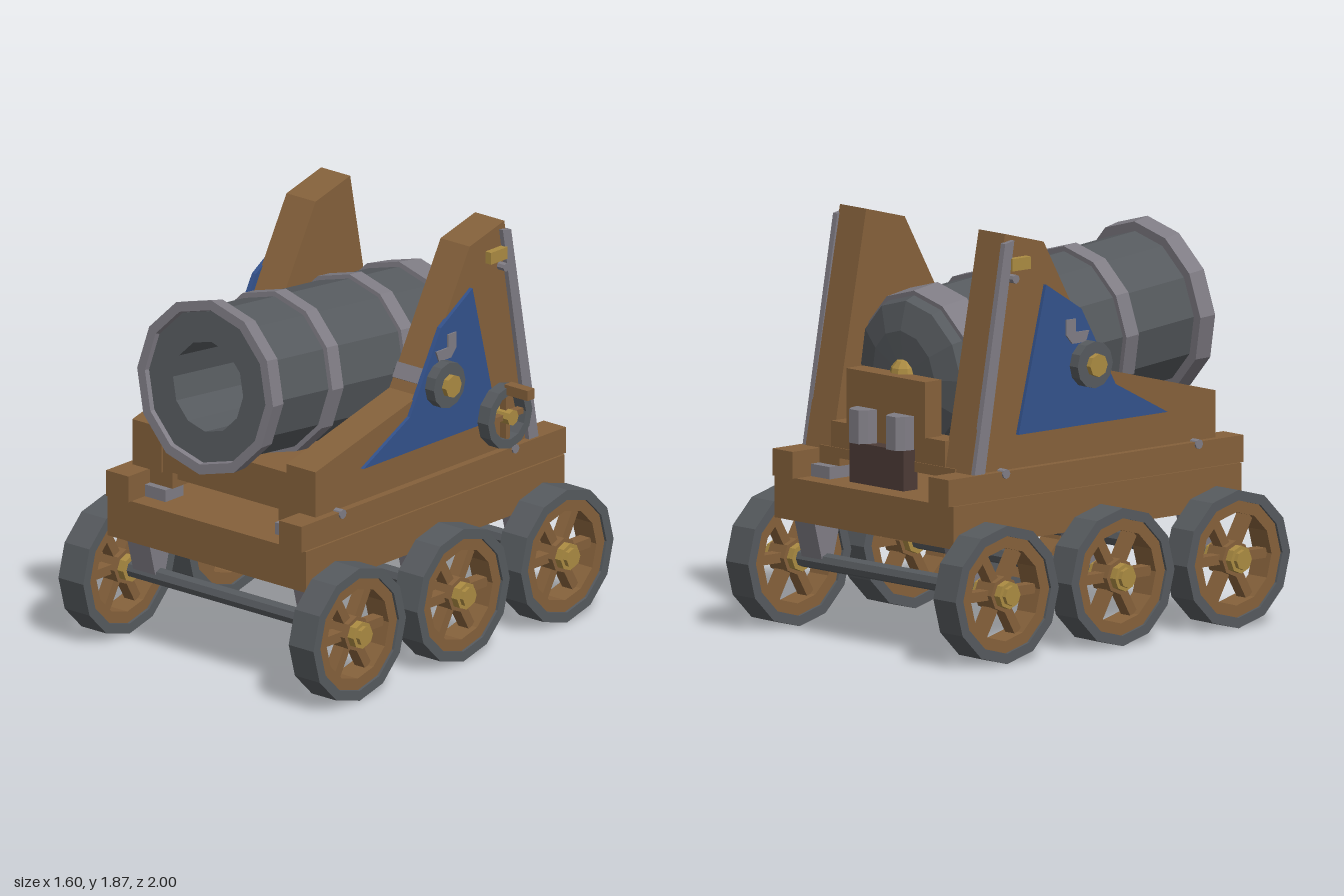
import * as THREE from 'three';

const mat = (name, color) => Object.assign(new THREE.MeshStandardMaterial({ color }), { name });

export function createModel() {
  const wood = mat('wood', 0x85613b);
  const darkWood = mat('dark wood', 0x4c3b36);
  const iron = mat('dark iron', 0x565a5e);
  const steel = mat('light steel', 0x7f7c84);
  const brass = mat('brass', 0xab8b42);
  const blue = mat('blue paint', 0x33528c);

  const model = new THREE.Group();
  model.name = 'siegeCannon';
  const body = new THREE.Group();
  body.name = 'carriage';
  body.position.x = -0.02;
  model.add(body);

  // Adds a faceted mesh
  const add = (parent, name, geometry, material) => {
    const flat = geometry.index ? geometry.toNonIndexed() : geometry;
    flat.computeVertexNormals();
    const mesh = new THREE.Mesh(flat, material);
    mesh.name = name;
    parent.add(mesh);
    return mesh;
  };
  // Box given by its limits on each axis
  const box = (parent, name, material, x0, x1, y0, y1, z0, z1) => add(parent, name,
    new THREE.BoxGeometry(Math.abs(x1 - x0), y1 - y0, z1 - z0)
      .translate((x0 + x1) / 2, (y0 + y1) / 2, (z0 + z1) / 2), material);
  // Cylinder along x
  const rod = (parent, name, material, r, x0, x1, y, z, sides = 12) => add(parent, name,
    new THREE.CylinderGeometry(r, r, Math.abs(x1 - x0), sides).rotateZ(Math.PI / 2)
      .translate((x0 + x1) / 2, y, z), material);
  // Outline in (z, y), extruded between two x values
  const slab = (parent, name, material, points, x0, x1, hole) => {
    const shape = new THREE.Shape(points.map(p => new THREE.Vector2(...p)));
    if (hole) shape.holes.push(new THREE.Path(hole.map(p => new THREE.Vector2(...p))));
    const g = new THREE.ExtrudeGeometry(shape, { depth: Math.abs(x1 - x0), bevelEnabled: false });
    return add(parent, name, g.rotateY(-Math.PI / 2).translate(Math.max(x0, x1), 0, 0), material);
  };
  const circle = (r, n = 12) => Array.from({ length: n }, (_, i) =>
    [r * Math.cos(i * 2 * Math.PI / n), r * Math.sin(i * 2 * Math.PI / n)]);
  const ring = (parent, name, material, ro, ri, x0, x1) =>
    slab(parent, name, material, circle(ro), x0, x1, circle(ri));
  const group = (name, x, y, z) => {
    const g = new THREE.Group();
    g.name = name;
    g.position.set(x, y, z);
    body.add(g);
    return g;
  };

  // Chassis and bed
  box(body, 'chassis', wood, -0.58, 0.58, 0.51, 0.7, -0.86, 0.86);
  box(body, 'bed', wood, -0.32, 0.32, 0.79, 0.835, -0.72, 0.7);
  box(body, 'frontTransom', wood, -0.37, 0.37, 0.83, 0.985, 0.6, 0.735);
  box(body, 'rearTransom', wood, -0.37, 0.37, 0.8, 0.95, -0.715, -0.6);
  box(body, 'breechBlock', wood, -0.255, 0.255, 0.95, 1.2, -0.73, -0.63);
  box(body, 'rearChest', darkWood, -0.175, 0.175, 0.71, 0.89, -0.785, -0.7);

  // Wheels and axles
  for (const z of [-0.69, 0, 0.69]) {
    rod(body, 'axle', iron, 0.04, -0.62, 0.62, 0.31, z, 8);
    for (const s of [-1, 1]) {
      slab(body, 'axleBracket', steel,
        [[z - 0.085, 0.52], [z - 0.03, 0.31], [z + 0.03, 0.31], [z + 0.085, 0.52]], s * 0.42, s * 0.55);
      const wheel = group('wheel', s * 0.6725, 0.31, z);
      ring(wheel, 'tyre', iron, 0.308, 0.262, -0.0725, 0.0725);
      ring(wheel, 'felloe', wood, 0.264, 0.208, -0.06, 0.06);
      for (let i = 0; i < 3; i++) {
        box(wheel, 'spokePair', wood, -0.03, 0.03, -0.022, 0.022, -0.225, 0.225)
          .rotation.x = i * Math.PI / 3;
      }
      rod(wheel, 'hub', wood, 0.08, -0.055, 0.055, 0, 0, 8);
      rod(wheel, 'hubCap', brass, 0.062, -s * 0.09, s * 0.09, 0, 0, 8);
      rod(wheel, 'hubPin', brass, 0.045, 0, s * 0.11, 0, 0, 8);
    }
  }

  // Side parts, one set for each side
  for (const s of [-1, 1]) {
    box(body, 'rail', wood, s * 0.44, s * 0.57, 0.7, 0.82, -0.88, 0.88);
    box(body, 'innerRail', wood, s * 0.31, s * 0.44, 0.755, 0.835, -0.72, 0.735);
    for (const z of [-0.71, 0.71]) {
      box(body, 'railFoot', steel, s * 0.32, s * 0.44, 0.7, 0.755, z - 0.06, z + 0.06);
    }
    slab(body, 'cheek', wood, [[0.745, 0.82], [0.745, 1.03], [0.06, 1.205],
      [-0.28, 1.81], [-0.51, 1.87], [-0.715, 0.82]], s * 0.365, s * 0.535);
    slab(body, 'bluePlate', blue, [[0.445, 0.97], [0.135, 1.13], [-0.07, 1.49],
      [-0.28, 1.62], [-0.445, 0.97]], s * 0.53, s * 0.552);
    slab(body, 'plateBracket', steel, [[-0.03, 1.39], [-0.05, 1.34], [-0.13, 1.34], [-0.165, 1.38],
      [-0.165, 1.45], [-0.11, 1.45], [-0.11, 1.39]], s * 0.552, s * 0.56);
    slab(body, 'edgeStrip', steel, [[-0.475, 1.84], [-0.53, 1.83], [-0.712, 0.82], [-0.65, 0.82]],
      s * 0.53, s * 0.558);
    slab(body, 'cheekStrap', steel, [[0.04, 1.25], [0.005, 1.312], [-0.02, 1.3], [0.02, 1.235]],
      s * 0.363, s * 0.538);
    box(body, 'brassCatch', brass, s * 0.53, s * 0.568, 1.705, 1.76, -0.495, -0.385);
    rod(body, 'catchBolt', steel, 0.02, s * 0.53, s * 0.575, 1.67, -0.48, 8);
    for (const z of [0.61, -0.54]) rod(body, 'railBolt', steel, 0.022, s * 0.53, s * 0.578, 0.81, z, 8);

    // Trunnion end
    rod(body, 'trunnionNeck', iron, 0.06, s * 0.53, s * 0.58, 1.245, -0.05);
    rod(body, 'trunnionCap', iron, 0.105, s * 0.568, s * 0.62, 1.245, -0.05);
    rod(body, 'trunnionPin', brass, 0.052, s * 0.6, s * 0.645, 1.245, -0.05, 8);

    // Rear latch, a half-round prism
    const latch = new THREE.Shape([[-0.065, 0], [0.065, 0], [0.055, 0.045], [0.03, 0.08],
      [-0.03, 0.08], [-0.055, 0.045]].map(p => new THREE.Vector2(...p)));
    add(body, 'latch', new THREE.ExtrudeGeometry(latch, { depth: 0.15, bevelEnabled: false })
      .rotateX(-Math.PI / 2).translate(s * 0.12, 0.89, -0.73), steel);
  }
  rod(body, 'trunnion', iron, 0.06, -0.54, 0.54, 1.245, -0.05);

  // Barrel, tilted on its trunnions
  const barrel = group('barrel', 0, 1.245, -0.05);
  barrel.rotation.x = -0.097;
  const turned = (name, material, points) => add(barrel, name,
    new THREE.LatheGeometry(points.map(p => new THREE.Vector2(...p)), 12).rotateX(Math.PI / 2), material);
  turned('tube', iron, [[0, -0.58], [0.2, -0.575], [0.325, -0.53], [0.345, -0.46], [0.345, 0.905],
    [0.205, 0.905], [0.2, 0.1], [0, 0.1]]);
  const hoop = (name, r0, r1, a, b) => turned(name, steel, [[0.33, a], [r0, a], [r1, b], [0.33, b]]);
  hoop('breechHoop', 0.36, 0.368, -0.48, -0.335);
  hoop('middleHoop', 0.364, 0.364, -0.085, -0.005);
  hoop('frontHoop', 0.368, 0.368, 0.42, 0.495);
  turned('muzzleHoop', steel, [[0.34, 0.845], [0.388, 0.845], [0.397, 0.925], [0.352, 0.925], [0.345, 0.9]]);
  add(barrel, 'breechKnob', new THREE.SphereGeometry(0.075, 10, 6).translate(0, 0, -0.56), brass);

  // Hand crank on the left side
  const crank = group('crank', 0, 1.03, -0.37);
  rod(crank, 'crankShaft', iron, 0.035, 0.53, 0.64, 0, 0, 8);
  ring(crank, 'crankRim', iron, 0.147, 0.105, 0.63, 0.693);
  box(crank, 'crankSpokeUpright', wood, 0.645, 0.68, -0.115, 0.115, -0.013, 0.013);
  box(crank, 'crankSpokeLevel', wood, 0.645, 0.68, -0.013, 0.013, -0.115, 0.115);
  rod(crank, 'crankPin', brass, 0.036, 0.63, 0.71, 0, 0, 8);
  box(crank, 'crankHandle', wood, 0.68, 0.815, 0.108, 0.155, -0.024, 0.024);

  return model;
}
